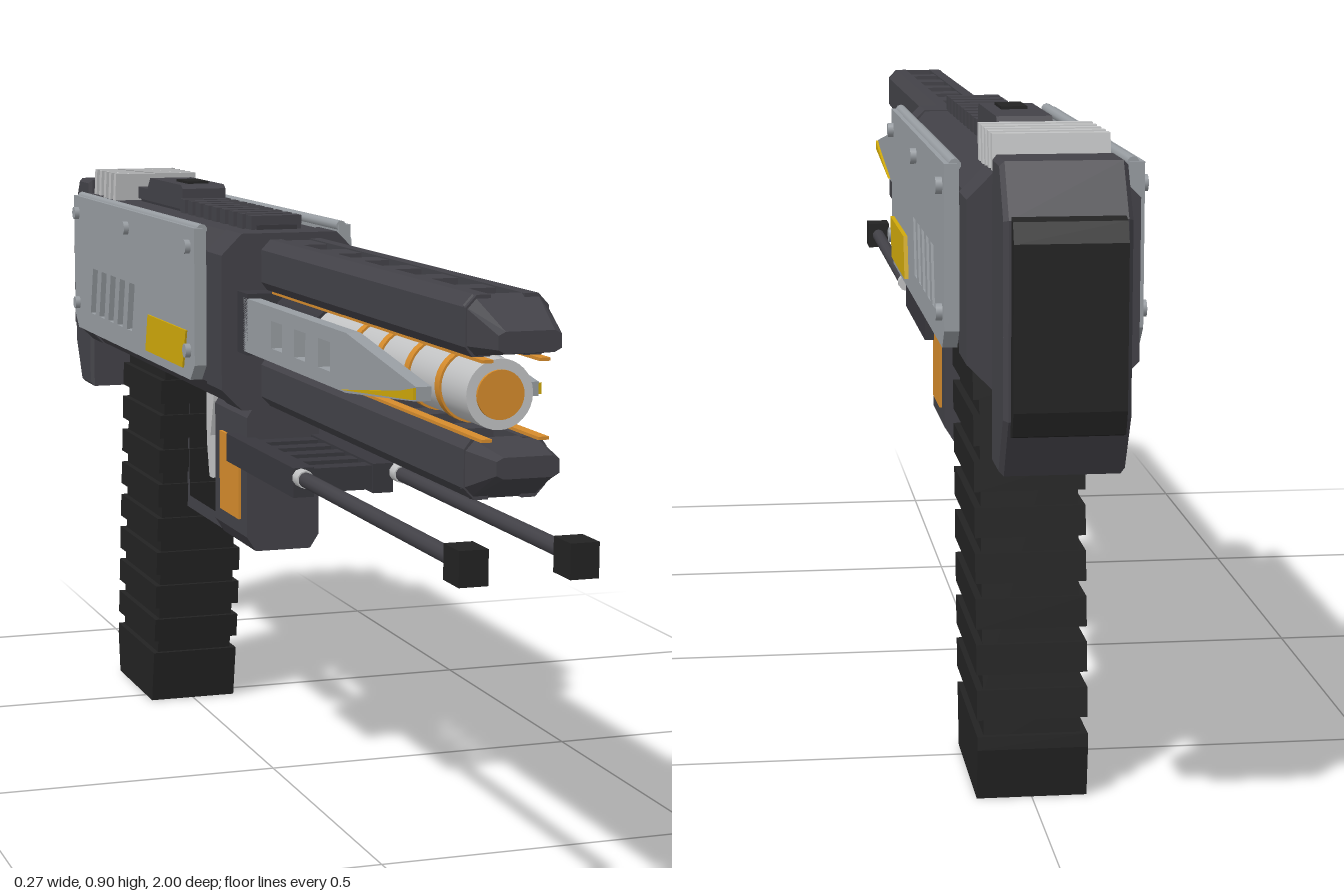
import * as THREE from 'three';

const mat = (name, color) => Object.assign(new THREE.MeshStandardMaterial({ color }), { name });
const M = {
  dark: mat('charcoal', 0x434248),
  frame: mat('dark frame', 0x38373d),
  black: mat('black rubber', 0x232323),
  panel: mat('panel grey', 0x989da2),
  light: mat('light metal', 0xc2c3c4),
  yellow: mat('yellow marking', 0xd0a90a),
  orange: mat('orange glow', 0xd68c2c),
};

const mesh = (name, geo, m) => Object.assign(new THREE.Mesh(geo, m), { name });
const toShape = (pts) => new THREE.Shape(pts.map(([a, b]) => new THREE.Vector2(a, b)));

// Box given by its ranges on each axis
function box(name, m, [x0, x1], [y0, y1], [z0, z1]) {
  const g = new THREE.BoxGeometry(x1 - x0, y1 - y0, z1 - z0);
  return mesh(name, g.translate((x0 + x1) / 2, (y0 + y1) / 2, (z0 + z1) / 2), m);
}

// Outline in (z, y), extruded across x, with an optional chamfer
function sideCut(name, m, pts, [x0, x1], holes = [], bevel = 0) {
  const s = toShape(pts);
  s.holes = holes.map(toShape);
  const g = new THREE.ExtrudeGeometry(s, {
    depth: x1 - x0 - 2 * bevel, bevelEnabled: bevel > 0, bevelSize: bevel,
    bevelThickness: bevel, bevelOffset: -bevel, bevelSegments: 1,
  });
  return mesh(name, g.rotateY(-Math.PI / 2).translate(x1 - bevel, 0, 0), m);
}

// Cross-section in (x, y), extruded along z; rule may move each vertex
function prism(name, m, pts, [z0, z1], rule) {
  let g = new THREE.ExtrudeGeometry(toShape(pts), { depth: z1 - z0, bevelEnabled: false });
  g.translate(0, 0, z0);
  if (rule) {
    const p = g.attributes.position, v = new THREE.Vector3();
    for (let i = 0; i < p.count; i++) {
      rule(v.fromBufferAttribute(p, i));
      p.setXYZ(i, v.x, v.y, v.z);
    }
    g.computeVertexNormals();
  }
  return mesh(name, g, m);
}

// Rectangle with chamfered corners: half width, y range, chamfer at bottom and top
const octagon = (w, y0, y1, cx, cy) => [
  [-w + cx, y0], [w - cx, y0], [w, y0 + cy], [w, y1 - cy],
  [w - cx, y1], [-w + cx, y1], [-w, y1 - cy], [-w, y0 + cy]];

function rod(name, m, r, x, y, [z0, z1], sides = 24) {
  const g = new THREE.CylinderGeometry(r, r, z1 - z0, sides).rotateX(Math.PI / 2);
  return mesh(name, g.translate(x, y, (z0 + z1) / 2), m);
}

// Upper half of the barrel shroud; its copy turned about the barrel is the lower half
function shroud(name) {
  const g = new THREE.Group();
  g.name = name;
  const y0 = 0.05, y1 = 0.125;
  for (const s of [-1, 1]) {
    const rail = [[0.022, y0], [0.045, y0], [0.054, y0 + 0.012], [0.054, y1 - 0.015], [0.04, y1], [0.022, y1]];
    g.add(prism('shroudRail', M.dark, rail.map(([x, y]) => [s * x, y]), [0.11, 0.92]));
    const xs = [s * 0.03, s * 0.044].sort((a, b) => a - b);
    g.add(box('glowStrip', M.orange, xs, [y0 - 0.004, y0], [0.13, 0.95]));
  }
  for (const z of [[0.11, 0.19], [0.27, 0.34], [0.4, 0.45], [0.525, 0.575], [0.65, 0.705], [0.785, 0.83]])
    g.add(box('shroudBridge', M.dark, [-0.023, 0.023], [y0 + 0.002, y1 - 0.002], z));
  g.add(prism('shroudNose', M.dark, octagon(0.054, y0, y1, 0.012, 0.013), [0.91, 0.99], (v) => {
    if (v.z > 0.95) { v.y = 0.062 + (v.y - y0) * 0.35; v.x *= 0.75; }
  }));
  return g;
}

// Parts that exist on both flanks
function flank(root, s) {
  const X = (a, b) => (s > 0 ? [a, b] : [-b, -a]);
  // Large armour panel with slanted vents
  const vents = [0, 1, 2, 3, 4].map((i) => {
    const z = -0.355 - i * 0.0625;
    return [[z, 0.74], [z - 0.035, 0.74], [z - 0.055, 0.66], [z - 0.02, 0.66]];
  });
  const outline = [[0, 0.86], [0, 0.65], [-0.025, 0.625], [-0.75, 0.625], [-0.775, 0.65], [-0.775, 0.86]];
  root.add(sideCut('sidePanel', M.panel, outline, X(0.107, 0.126), vents));
  root.add(box('ventGlow', M.orange, X(0.098, 0.104), [0.708, 0.75], [-0.67, -0.34]));
  root.add(box('ventFin', M.light, X(0.098, 0.106), [0.69, 0.706], [-0.67, -0.34]));
  root.add(rod('panelHinge', M.panel, 0.008, s * 0.112, 0.858, [-0.77, -0.005], 10));
  root.add(sideCut('warningPatch', M.yellow,
    [[-0.04, 0.7], [-0.06, 0.64], [-0.28, 0.64], [-0.265, 0.7]], X(0.126, s > 0 ? 0.132 : 0.129)));
  for (const [z, y] of [[-0.03, 0.83], [-0.4, 0.83], [-0.745, 0.83], [-0.03, 0.67], [-0.745, 0.67]]) {
    const g = new THREE.CylinderGeometry(0.011, 0.011, 0.009, 10).rotateZ(Math.PI / 2);
    root.add(mesh('panelBolt', g.translate(s * 0.13, y, z), M.panel));
  }
  // Tapered barrel guard with windows
  const windows = [0.48, 0.375, 0.27].map((z) =>
    [[z - 0.025, 0.705], [z + 0.025, 0.705], [z + 0.025, 0.745], [z - 0.025, 0.745]]);
  root.add(sideCut('barrelGuard', M.panel,
    [[0.11, 0.685], [0.57, 0.685], [0.83, 0.71], [0.83, 0.728], [0.57, 0.765], [0.11, 0.765]], X(0.062, 0.082), windows));
  root.add(sideCut('guardStripe', M.yellow,
    [[0.56, 0.688], [0.83, 0.712], [0.83, 0.727], [0.78, 0.717]], X(0.082, 0.086)));
  // Lower rods with block tips
  root.add(rod('lowerRod', M.dark, 0.011, s * 0.073, 0.534, [0.375, 0.97], 10));
  root.add(rod('rodEnd', M.light, 0.013, s * 0.073, 0.534, [0.355, 0.377], 10));
  root.add(box('rodTip', M.black, X(0.053, 0.091), [0.511, 0.556], [0.95, 1]));
  root.add(box('lowerRailBar', M.frame, X(0.045, 0.076), [0.5, 0.543], [0, 0.33]));
  // Orange cell window
  root.add(box('cellWindow', M.orange, X(0.058, 0.062), [0.41, 0.535], [-0.083, 0.017]));
}

export function createModel() {
  const root = new THREE.Group();
  root.name = 'blaster';

  // Receiver: front collar, core and rear block
  root.add(prism('frontCollar', M.dark, octagon(0.107, 0.59, 0.857, 0.032, 0.032), [0, 0.08]));
  root.add(prism('receiverCore', M.dark, octagon(0.1, 0.592, 0.855, 0.026, 0.03), [-0.77, 0]));
  root.add(prism('rearBlock', M.dark, octagon(0.107, 0.59, 0.857, 0.032, 0.032), [-0.855, -0.77]));
  root.add(box('neck', M.frame, [-0.082, 0.082], [0.68, 0.772], [0.08, 0.13]));

  // Barrel
  root.add(rod('barrel', M.light, 0.044, 0, 0.725, [0.1, 0.9], 32));
  root.add(rod('barrelSleeve', M.frame, 0.048, 0, 0.725, [0.08, 0.32], 32));
  root.add(rod('barrelCore', M.orange, 0.031, 0, 0.725, [0.88, 0.904], 32));
  for (const z of [0.49, 0.59, 0.7, 0.81])
    root.add(rod('barrelRing', M.orange, 0.047, 0, 0.725, [z - 0.008, z + 0.008], 32));
  const top = shroud('upperShroud'), low = shroud('lowerShroud');
  top.position.y = low.position.y = 0.725;
  low.rotation.z = Math.PI;
  root.add(top, low);

  for (const s of [-1, 1]) flank(root, s);

  // Lower rail cross ribs
  for (let i = 0; i < 5; i++)
    root.add(box('lowerRailRib', M.frame, [-0.046, 0.046], [0.505, 0.54], [0.055 + i * 0.06, 0.085 + i * 0.06]));

  // Power cell block
  root.add(prism('cellBlock', M.dark, octagon(0.058, 0.365, 0.595, 0.014, 0.022), [-0.12, 0.05]));

  // Trigger and guard
  root.add(sideCut('triggerGuard', M.dark,
    [[-0.15, 0.595], [-0.135, 0.55], [-0.16, 0.385], [-0.2, 0.352], [-0.41, 0.352], [-0.41, 0.595]], [-0.022, 0.022],
    [[[-0.17, 0.575], [-0.155, 0.545], [-0.178, 0.395], [-0.205, 0.373], [-0.395, 0.373], [-0.395, 0.575]]]));
  root.add(sideCut('trigger', M.light,
    [[-0.28, 0.595], [-0.285, 0.55], [-0.303, 0.49], [-0.292, 0.42], [-0.31, 0.42], [-0.325, 0.48], [-0.325, 0.595]],
    [-0.012, 0.012]));

  // Raked grip: slim core with wider bands
  const front = (y) => (y < 0.14 ? -0.46 + y * 0.18 : -0.435 + (y - 0.14) * 0.122);
  const back = (y) => (y < 0.07 ? -0.68 - y * 0.14 : -0.69 + (y - 0.07) * 0.115);
  const slice = (ys, inset) => [
    ...ys.map((y) => [front(y) - inset, y]), ...[...ys].reverse().map((y) => [back(y) + inset, y])];
  root.add(sideCut('gripCore', M.black, slice([0.02, 0.07, 0.14, 0.595], 0.008), [-0.065, 0.065]));
  root.add(sideCut('gripBase', M.black, slice([0, 0.07, 0.088], 0), [-0.074, 0.074]));
  for (let i = 0; i < 8; i++) {
    const y = 0.11 + i * 0.0605;
    root.add(sideCut('gripBand', M.black, slice([y, y + 0.04], 0), [-0.074, 0.074]));
  }

  // Butt frame with opening and rubber pad
  root.add(sideCut('buttFrame', M.dark,
    [[-0.86, 0.88], [-0.935, 0.88], [-0.978, 0.815], [-0.978, 0.575], [-0.935, 0.5], [-0.86, 0.5]],
    [-0.077, 0.077], [[[-0.892, 0.765], [-0.97, 0.765], [-0.97, 0.682], [-0.892, 0.682]]], 0.006));
  root.add(sideCut('buttPad', M.black,
    [[-0.972, 0.82], [-0.99, 0.815], [-1, 0.79], [-1, 0.59], [-0.99, 0.56], [-0.972, 0.555]], [-0.068, 0.068]));
  root.add(box('buttLink', M.frame, [-0.06, 0.06], [0.62, 0.82], [-0.865, -0.85]));

  // Top rail, sight plate and cooling fins
  root.add(box('topRail', M.frame, [-0.032, 0.032], [0.85, 0.864], [-0.66, 0.02]));
  for (let i = 0; i < 9; i++)
    root.add(box('railRib', M.dark, [-0.04, 0.04], [0.85, 0.878], [-0.012 - i * 0.046, 0.016 - i * 0.046]));
  root.add(sideCut('sightPlate', M.dark,
    [[-0.375, 0.86], [-0.375, 0.894], [-0.385, 0.9], [-0.58, 0.9], [-0.6, 0.88], [-0.66, 0.88], [-0.66, 0.86]],
    [-0.037, 0.037]));
  root.add(box('sightButton', M.black, [-0.018, 0.018], [0.895, 0.904], [-0.48, -0.41]));
  for (let i = 0; i < 5; i++) {
    const z = -0.685 - i * 0.034;
    root.add(sideCut('coolingFin', M.light,
      [[z, 0.85], [z + 0.008, 0.902], [z - 0.007, 0.902], [z - 0.016, 0.85]], [-0.073, 0.073]));
  }
  return root;
}
